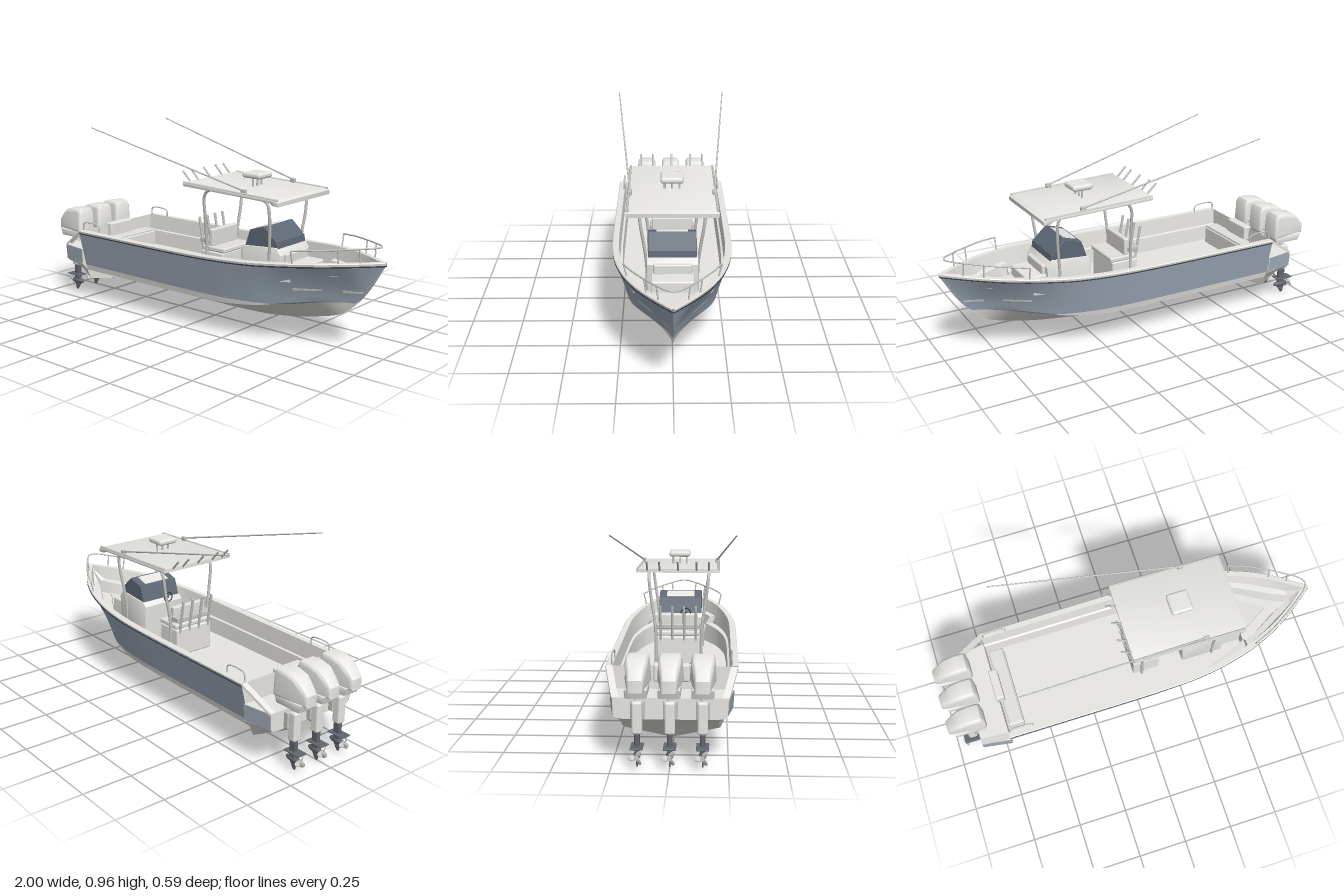
import * as THREE from 'three';
import { toCreasedNormals } from 'three/addons/utils/BufferGeometryUtils.js';
import { RoundedBoxGeometry } from 'three/addons/geometries/RoundedBoxGeometry.js';

const paint = (name, color, side = THREE.FrontSide) => {
  const m = new THREE.MeshStandardMaterial({ color, side });
  m.name = name;
  return m;
};
const V = (a) => new THREE.Vector3(...a);

// Smooth monotone curve through [x, value] points
function curve(p) {
  const d = p.slice(1).map((q, i) => (q[1] - p[i][1]) / (q[0] - p[i][0]));
  const m = p.map((_, i) => {
    if (i === 0) return d[0];
    if (i === p.length - 1) return d[i - 1];
    return d[i - 1] * d[i] <= 0 ? 0 : 2 * d[i - 1] * d[i] / (d[i - 1] + d[i]);
  });
  return (x) => {
    if (x <= p[0][0]) return p[0][1];
    if (x >= p[p.length - 1][0]) return p[p.length - 1][1];
    const i = p.findIndex((q) => q[0] > x) - 1;
    const h = p[i + 1][0] - p[i][0], t = (x - p[i][0]) / h;
    return p[i][1] * (1 + 2 * t) * (1 - t) ** 2 + h * m[i] * t * (1 - t) ** 2
      + p[i + 1][1] * t * t * (3 - 2 * t) + h * m[i + 1] * t * t * (t - 1);
  };
}

// Hull lines as functions of x (bow at +x)
const AFT = -0.71, BOW = 0.995, FLOOR = 0.235, BOW_DECK = 0.315;
const keel = curve([[AFT, 0.082], [0.1, 0.078], [0.3, 0.083], [0.5, 0.105], [0.65, 0.137], [0.75, 0.165], [0.81, 0.2], [0.91, 0.305], [BOW, 0.445]]);
const sheer = curve([[AFT, 0.398], [0, 0.403], [0.4, 0.416], [0.6, 0.431], [0.8, 0.445], [BOW, 0.457]]);
const beam = curve([[AFT, 0.292], [0, 0.294], [0.2, 0.292], [0.35, 0.281], [0.57, 0.238], [0.73, 0.178], [0.83, 0.123], [0.91, 0.069], [BOW, 0.005]]);
const chineBeam = curve([[AFT, 0.24], [0, 0.24], [0.2, 0.233], [0.4, 0.202], [0.55, 0.148], [0.65, 0.098], [0.73, 0.056], [0.8, 0.022], [0.88, 0]]);
const chineLine = curve([[AFT, 0.175], [0.2, 0.177], [0.4, 0.191], [0.55, 0.218], [0.7, 0.24], [0.88, 0.27]]);
const waterLine = curve([[AFT, 0.205], [0.5, 0.207], [0.68, 0.228], [0.8, 0.24]]);
const chine = (x) => Math.max(keel(x), chineLine(x));
const water = (x) => Math.max(keel(x), waterLine(x));
function hullZ(x, y) {
  const k = keel(x), c = chine(x), s = sheer(x), zc = chineBeam(x);
  if (y <= c) return c - k < 1e-4 ? 0 : zc * Math.max(0, y - k) / (c - k);
  const t = Math.min(1, (y - c) / (s - c));
  return zc + (beam(x) - zc) * t ** (1 + 0.3 * THREE.MathUtils.smoothstep(x, 0.2, 0.9));
}
const range = (a, b, n) => Array.from({ length: n + 1 }, (_, i) => a + (b - a) * i / n);

// Surface skinned across cross-sections
function loft(sections, crease = 0.4) {
  const n = sections[0].length, idx = [];
  for (let i = 0; i < sections.length - 1; i++) for (let j = 0; j < n - 1; j++) {
    const a = i * n + j, b = a + n;
    idx.push(a, b, a + 1, b, b + 1, a + 1);
  }
  const g = new THREE.BufferGeometry();
  g.setAttribute('position', new THREE.Float32BufferAttribute(sections.flat(2), 3));
  g.setIndex(idx);
  g.computeVertexNormals();
  return toCreasedNormals(g, crease);
}

// Side profile in x, y extruded across z and centred
function slab(pts, width, bevel = 0.006, seg = 2) {
  const g = new THREE.ExtrudeGeometry(new THREE.Shape(pts.map((p) => new THREE.Vector2(...p))), {
    depth: width - 2 * bevel, bevelEnabled: bevel > 0, bevelThickness: bevel, bevelSize: bevel, bevelOffset: -bevel, bevelSegments: seg,
  });
  g.translate(0, 0, bevel - width / 2);
  return toCreasedNormals(g, 0.5);
}

export function createModel() {
  const boat = new THREE.Group();
  boat.name = 'fishingBoat';
  const blue = paint('hullBlue', 0xa2aebc, THREE.DoubleSide);
  const white = paint('offWhite', 0xe9e8e4, THREE.DoubleSide);
  const glass = paint('tintedGlass', 0x5e6874);
  const trim = paint('darkTrim', 0x2e3643, THREE.DoubleSide);
  const metal = paint('railMetal', 0xc6c6c3);
  const lower = paint('lowerUnitGrey', 0x62676e);
  const cushion = paint('cushion', 0xe2e1dd);

  const add = (name, g, mat, parent = boat) => {
    const m = new THREE.Mesh(g, mat);
    m.name = name;
    parent.add(m);
    return m;
  };
  const box = (name, x0, x1, y0, y1, w, mat, r = 0.008, parent = boat) => {
    const m = add(name, new RoundedBoxGeometry(x1 - x0, y1 - y0, w, 2, r), mat, parent);
    m.position.set((x0 + x1) / 2, (y0 + y1) / 2, 0);
    return m;
  };
  const tube = (name, pts, r, mat, seg = 32) =>
    add(name, new THREE.TubeGeometry(new THREE.CatmullRomCurve3(pts.map(V), false, 'centripetal'), seg, r, 8), mat);
  const rod = (name, a, b, r0, mat, r1 = r0, parent = boat) => {
    const A = V(a), B = V(b), d = B.clone().sub(A);
    const m = add(name, new THREE.CylinderGeometry(r1, r0, d.length(), 8), mat, parent);
    m.position.copy(A).add(B).multiplyScalar(0.5);
    m.quaternion.setFromUnitVectors(new THREE.Vector3(0, 1, 0), d.normalize());
    return m;
  };

  // Hull shell, gunwale and cockpit liner, mirrored
  const xs = range(AFT, BOW, 68);
  const linerXs = [...xs.filter((x) => x < 0.6), 0.6, 0.601, ...xs.filter((x) => x > 0.601)];
  const deckY = (x) => Math.min(sheer(x) - 0.008, Math.max(x > 0.6005 ? BOW_DECK : FLOOR, keel(x) + 0.03));
  const bowRail = [[0.63, 0.497, 0.222], [0.72, 0.506, 0.184], [0.82, 0.514, 0.126], [0.9, 0.521, 0.072], [0.95, 0.525, 0.032]];
  for (const s of [1, -1]) {
    const at = (x, y) => [x, y, s * hullZ(x, y)];
    add('hullBottom', loft(xs.map((x) => {
      const k = keel(x), w = water(x), c = Math.min(chine(x), w);
      return [k, (k + c) / 2, c, w].map((y) => at(x, y));
    })), white);
    add('hullSide', loft(xs.map((x) => {
      const w = water(x), c = Math.max(chine(x), w);
      return [w, ...range(c, sheer(x) - 0.01, 6)].map((y) => at(x, y));
    })), blue);
    add('cockpitLiner', loft(linerXs.map((x) => {
      const y = deckY(x), top = sheer(x) + 0.004, zi = Math.max(0, beam(x) - 0.03);
      const slope = 0.018 + 0.035 * THREE.MathUtils.smoothstep(x, 0.25, 0.6);
      const zf = Math.max(0, Math.min(zi - slope, hullZ(x, y) - 0.008));
      const ledge = top + (y - top) * 0.5, step = zi - zf;
      return [[x, sheer(x) - 0.01, s * (beam(x) - 0.001)], [x, sheer(x), s * (beam(x) + 0.002)], [x, top, s * (beam(x) - 0.002)],
        [x, top, s * zi], [x, ledge, s * (zi - 0.25 * step)], [x, ledge - 0.004, s * (zi - 0.8 * step)], [x, y, s * zf], [x, y, 0]];
    })), white);
    tube('rubRail', xs.filter((_, i) => i % 2 === 0).map((x) => [x, sheer(x) - 0.013, s * (beam(x) - 0.002)]), 0.0032, trim, 80);

    // Pale flashes on the bow flank
    for (const [x0, x1] of [[0.6, 0.72], [0.8, 0.89]])
      add('bowFlash', loft(range(x0, x1, 8).map((x, i) => [0.291 + 0.0006 * i, 0.305].map((y) => [x, y, s * (hullZ(x, y) + 0.004)]))), white);

    // Stern bracket flank and sloping quarter
    add('bracketFlank', loft([[AFT, 0.277], [-0.86, 0.253]].map(([x, z]) => [[x, 0.215, s * (z - 0.005)], [x, 0.295, s * z]])), blue);
    add('sternQuarter', loft([[AFT, 0.4, 0.292], [-0.86, 0.298, 0.253]].map(([x, y, z]) =>
      [[x, y - 0.014, s * z], [x, y, s * z], [x, y, s * (z - 0.03)], [x, y - 0.014, s * (z - 0.03)]])), white);

    // Stern grab rail
    tube('sternGrabRail', [[-0.7, 0.4], [-0.7, 0.432], [-0.69, 0.443], [-0.595, 0.443], [-0.582, 0.432], [-0.582, 0.4]]
      .map(([x, y]) => [x, y, s * 0.265]), 0.0035, metal);

    // Bow rail posts
    for (const i of [0, 2, 3]) {
      const [x, y, z] = bowRail[i];
      rod('bowRailPost', [x, sheer(x), s * (beam(x) - 0.012)], [x, y, s * z], 0.0035, metal);
    }

    // Hardtop arch, roof rail and outrigger
    tube('hardtopArch', [[0.045, FLOOR, 0.118], [0.045, 0.42, 0.12], [0.052, 0.56, 0.14], [0.06, 0.67, 0.153], [0.09, 0.701, 0.155],
      [0.25, 0.704, 0.155], [0.4, 0.698, 0.155], [0.445, 0.68, 0.154], [0.455, 0.62, 0.149], [0.445, 0.5, 0.132], [0.435, 0.4, 0.121], [0.435, FLOOR, 0.12]]
      .map(([x, y, z]) => [x, y, s * z]), 0.0075, metal, 72);
    rod('hardtopRail', [-0.03, 0.732, s * 0.205], [0.54, 0.713, s * 0.205], 0.006, metal);
    rod('outrigger', [0.35, 0.732, s * 0.197], [-0.6, 0.963, s * 0.282], 0.0045, metal, 0.003);
    box('outriggerBase', 0.325, 0.355, 0.72, 0.742, 0.016, metal, 0.004).position.z = s * 0.197;
  }
  tube('bowRail', [...bowRail, [0.967, 0.526, 0], ...bowRail.slice().reverse().map(([x, y, z]) => [x, y, -z])], 0.004, metal, 72);

  // Transom wall and motor bracket
  const half = [[0.08, 0], [0.175, 0.24], [0.4, 0.292]];
  add('transom', loft([1, -1].map((s) => half.map(([y, z]) => [AFT, y, s * z]))), white);
  const ring = (x, pts) => [...pts, ...pts.slice().reverse().map(([y, z]) => [y, -z])].map(([y, z]) => [x, y, z]);
  const front = ring(AFT + 0.001, [[0.075, 0], [0.12, 0.215], [0.175, 0.24], [0.21, 0.27], [0.295, 0.274], [0.295, 0]]);
  const rear = ring(-0.86, [[0.2, 0], [0.2, 0.2], [0.205, 0.235], [0.215, 0.246], [0.295, 0.25], [0.295, 0]]);
  const mid = ring(-0.78, [[0.15, 0], [0.165, 0.208], [0.19, 0.237], [0.213, 0.258], [0.295, 0.262], [0.295, 0]]);
  const cap = (r) => r.map(([x]) => [x, 0.25, 0]);
  add('motorBracket', loft([cap(front), front, mid, rear, cap(rear)]), white);

  // Stern bench and bait well
  box('sternBench', -0.7, -0.62, FLOOR, 0.328, 0.42, white);
  box('benchCushion', -0.695, -0.625, 0.325, 0.338, 0.41, cushion, 0.005);
  box('baitWell', -0.725, -0.68, 0.33, 0.408, 0.16, white);

  // Helm console, windscreen and wheel
  add('console', slab([[0.27, FLOOR], [0.49, FLOOR], [0.5, 0.43], [0.475, 0.465], [0.28, 0.45], [0.26, 0.43]], 0.24), white);
  add('windscreen', slab([[0.28, 0.435], [0.312, 0.53], [0.4, 0.556], [0.474, 0.49], [0.48, 0.455]], 0.228, 0.002, 1), glass);
  const helm = box('helmPanel', -0.035, 0.035, -0.003, 0.003, 0.15, white, 0.002);
  helm.position.set(0.357, 0.544, 0);
  helm.rotation.z = 0.287;
  const wheel = add('steeringWheel', new THREE.TorusGeometry(0.025, 0.003, 8, 24), trim);
  wheel.position.set(0.262, 0.455, 0.03);
  wheel.rotation.set(0, Math.PI / 2, 0);
  rod('wheelColumn', [0.262, 0.455, 0.03], [0.3, 0.45, 0.03], 0.005, trim);

  // Console front seat and bow cushion
  box('frontSeat', 0.485, 0.6, FLOOR, 0.39, 0.2, white);
  box('frontSeatBack', 0.485, 0.515, 0.38, 0.436, 0.18, cushion);
  const wedge = new THREE.Shape([[0.602, -0.1], [0.77, 0], [0.602, 0.1]].map((p) => new THREE.Vector2(...p)));
  const hatch = add('bowHatch', new THREE.ExtrudeGeometry(wedge, { depth: 0.025, bevelEnabled: false }), cushion);
  hatch.rotation.x = -Math.PI / 2;
  hatch.position.y = BOW_DECK;

  // Leaning post with seat, backrest and rod holders
  box('leaningPost', 0.0, 0.14, FLOOR, 0.38, 0.22, white);
  box('leaningSeat', 0.01, 0.15, 0.38, 0.405, 0.22, cushion);
  box('leaningBackrest', 0.04, 0.068, 0.4, 0.49, 0.2, cushion);
  for (const z of [-0.09, -0.03, 0.03, 0.09])
    rod('seatRodHolder', [0.005, 0.36, z], [-0.028, 0.54, z], 0.0065, metal);
  box('rodRack', -0.006, 0.05, 0.42, 0.445, 0.22, metal, 0.004);

  // Hardtop with drooping front lip
  add('hardtop', slab([[-0.03, 0.714], [0.5, 0.699], [0.515, 0.687], [0.548, 0.685], [0.55, 0.706], [0.53, 0.714], [-0.03, 0.733]], 0.424, 0.004), white);
  for (const z of [-0.155, -0.093, 0, 0.093, 0.155])
    rod('roofRodHolder', [-0.025, 0.725, z], [-0.078, 0.778, z], 0.005, metal);

  // Radar
  box('radarDome', 0.212, 0.322, 0.763, 0.793, 0.11, white, 0.013);
  for (const z of [-0.035, 0, 0.035]) rod('radarMount', [0.267, 0.715, z], [0.267, 0.77, z], 0.005, metal);

  // Three outboard motors
  const cowl = slab([[-1, 0.352], [-0.999, 0.405], [-0.968, 0.443], [-0.93, 0.473], [-0.87, 0.486], [-0.82, 0.483], [-0.806, 0.46], [-0.805, 0.352]], 0.115, 0.018, 4);
  const pos = cowl.attributes.position;
  for (let i = 0; i < pos.count; i++) {
    const back = THREE.MathUtils.smoothstep(-pos.getX(i), 0.9, 1.0), up = THREE.MathUtils.smoothstep(pos.getY(i), 0.4, 0.49);
    pos.setZ(i, pos.getZ(i) * (1 - 0.4 * back - 0.15 * up));
  }
  const cowlGeo = toCreasedNormals(cowl, 0.6);
  const pan = slab([[-0.965, 0.32], [-0.98, 0.36], [-0.81, 0.36], [-0.82, 0.32]], 0.095, 0.008);
  const skeg = slab([[-0.925, 0.05], [-0.9, 0.05], [-0.872, 0.05], [-0.9, 0.005], [-0.912, 0.005]], 0.006, 0.002);
  for (const z of [-0.14, 0, 0.14]) {
    const motor = new THREE.Group();
    motor.name = 'outboardMotor';
    motor.position.z = z;
    boat.add(motor);
    add('cowl', cowlGeo, white, motor);
    add('cowlPan', pan, white, motor);
    box('midsection', -0.922, -0.878, 0.15, 0.292, 0.045, white, 0.01, motor);
    rod('steeringPivot', [-0.89, 0.28, 0], [-0.89, 0.33, 0], 0.012, white, 0.012, motor);
    box('mountClamp', -0.885, -0.83, 0.205, 0.285, 0.06, metal, 0.005, motor);
    box('driveLeg', -0.918, -0.878, 0.05, 0.155, 0.022, lower, 0.008, motor);
    box('splashPlate', -0.955, -0.86, 0.091, 0.098, 0.055, lower, 0.003, motor);
    const torpedo = add('gearCase', new THREE.SphereGeometry(1, 16, 10), lower, motor);
    torpedo.scale.set(0.048, 0.016, 0.016);
    torpedo.position.set(-0.9, 0.056, 0);
    add('skeg', skeg, lower, motor);
    rod('propellerHub', [-0.962, 0.056, 0], [-0.925, 0.056, 0], 0.008, metal, 0.012, motor);
    for (let i = 0; i < 3; i++) {
      const arm = new THREE.Group();
      arm.name = 'propellerBlade';
      arm.position.set(-0.946, 0.056, 0);
      arm.rotation.x = i * Math.PI * 2 / 3 + 0.5;
      motor.add(arm);
      const blade = add('blade', new THREE.SphereGeometry(1, 12, 8), metal, arm);
      blade.scale.set(0.003, 0.017, 0.013);
      blade.position.y = 0.018;
      blade.rotation.y = 0.6;
    }
  }
  return boat;
}
